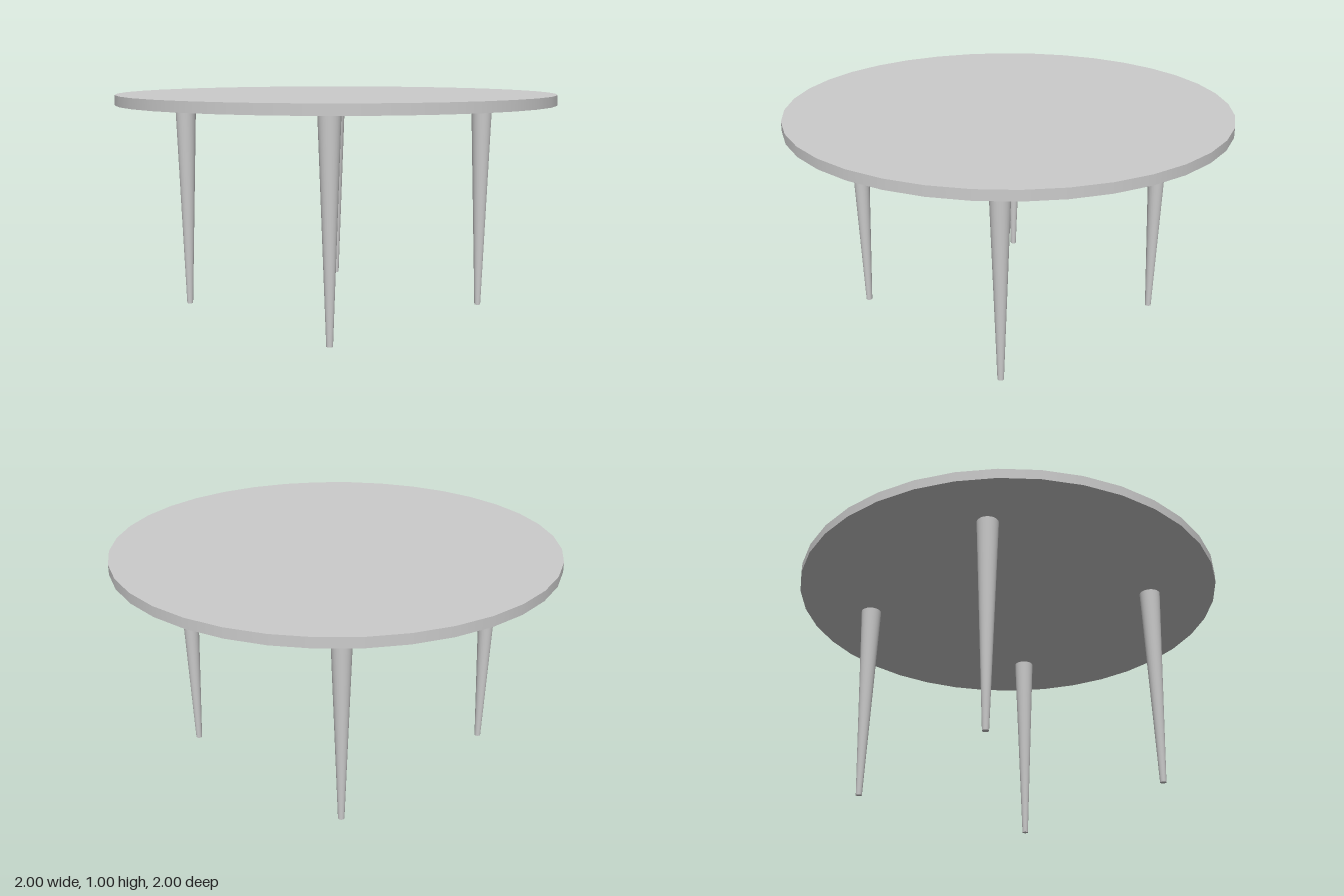
import * as THREE from 'three';

export function createModel() {
  const group = new THREE.Group();
  const material = new THREE.MeshStandardMaterial({ color: 0xcccccc });
  const height = 1, thickness = 0.045;
  const legHeight = height - thickness;

  // Round table top
  const top = new THREE.Mesh(new THREE.CylinderGeometry(1, 1, thickness, 36), material);
  top.name = 'tableTop';
  top.position.y = height - thickness / 2;
  group.add(top);

  // Four tapered legs, their square set slightly off centre
  const legGeometry = new THREE.CylinderGeometry(0.048, 0.014, legHeight, 24);
  const offsetX = -0.012, offsetZ = -0.007, spread = 0.485;
  for (const [side, sx] of [['Left', 1], ['Right', -1]]) {
    for (const [end, sz] of [['front', 1], ['back', -1]]) {
      const leg = new THREE.Mesh(legGeometry, material);
      leg.name = `${end}${side}Leg`;
      leg.position.set(offsetX + sx * spread, legHeight / 2, offsetZ + sz * spread);
      group.add(leg);
    }
  }
  return group;
}
